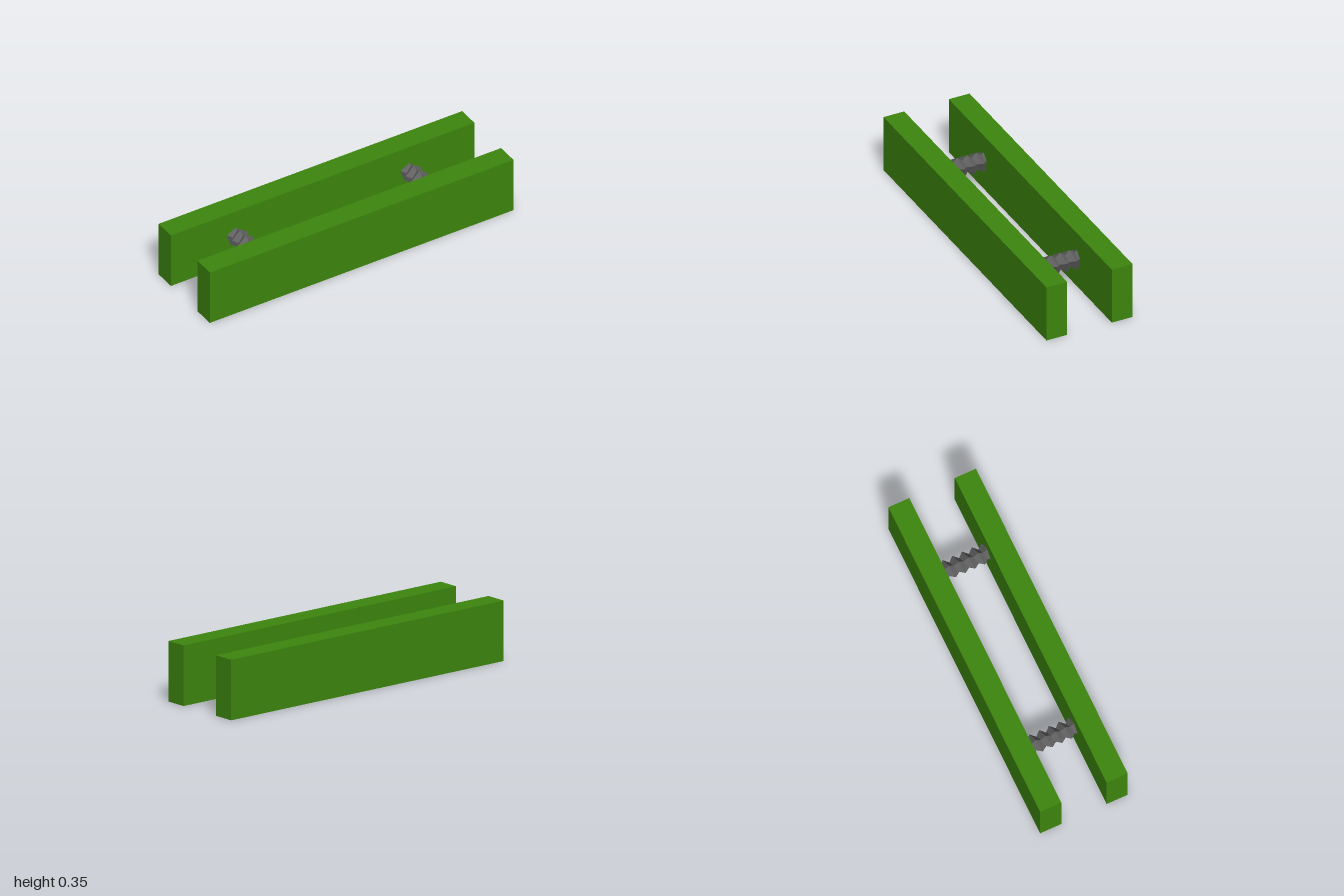
import * as THREE from 'three';

// Five-sided helical thread running along z, with a zigzag radius
function threadGeometry() {
  const sides = 5, pitch = 0.06, crest = 0.065, valley = 0.038;
  const first = -8, last = 4;
  const point = (j, k) => {
    const r = j % 2 === 0 ? crest : valley;
    const a = (k / sides) * Math.PI * 2;
    return [r * Math.sin(a), r * Math.cos(a), 0.085 + (j / 2 - k / sides) * pitch];
  };
  const pos = [];
  for (let j = first; j < last; j++) {
    for (let k = 0; k < sides; k++) {
      const a = point(j, k), b = point(j + 1, k);
      const c = point(j, k + 1), d = point(j + 1, k + 1);
      pos.push(...a, ...b, ...d, ...a, ...d, ...c);
    }
  }
  const geo = new THREE.BufferGeometry();
  geo.setAttribute('position', new THREE.Float32BufferAttribute(pos, 3));
  geo.computeVertexNormals();
  return geo;
}

export function createModel() {
  const group = new THREE.Group();
  const green = new THREE.MeshStandardMaterial({ color: 0x3d860e });
  green.name = 'green paint';
  const grey = new THREE.MeshStandardMaterial({ color: 0x606060 });
  grey.name = 'grey steel';
  grey.side = THREE.DoubleSide;

  // Two parallel jaws, front and back
  const jawGeo = new THREE.BoxGeometry(2, 0.35, 0.13);
  for (const s of [1, -1]) {
    const jaw = new THREE.Mesh(jawGeo, green);
    jaw.name = s > 0 ? 'frontJaw' : 'backJaw';
    jaw.position.set(0, 0.175, s * 0.205);
    group.add(jaw);
  }

  // Screws joining the jaws, with their open ends sunk into the boards
  const screwGeo = threadGeometry();
  for (const s of [1, -1]) {
    const screw = new THREE.Mesh(screwGeo, grey);
    screw.name = s > 0 ? 'leftScrew' : 'rightScrew';
    screw.position.set(s * 0.572, 0.187, 0);
    group.add(screw);
  }
  return group;
}
